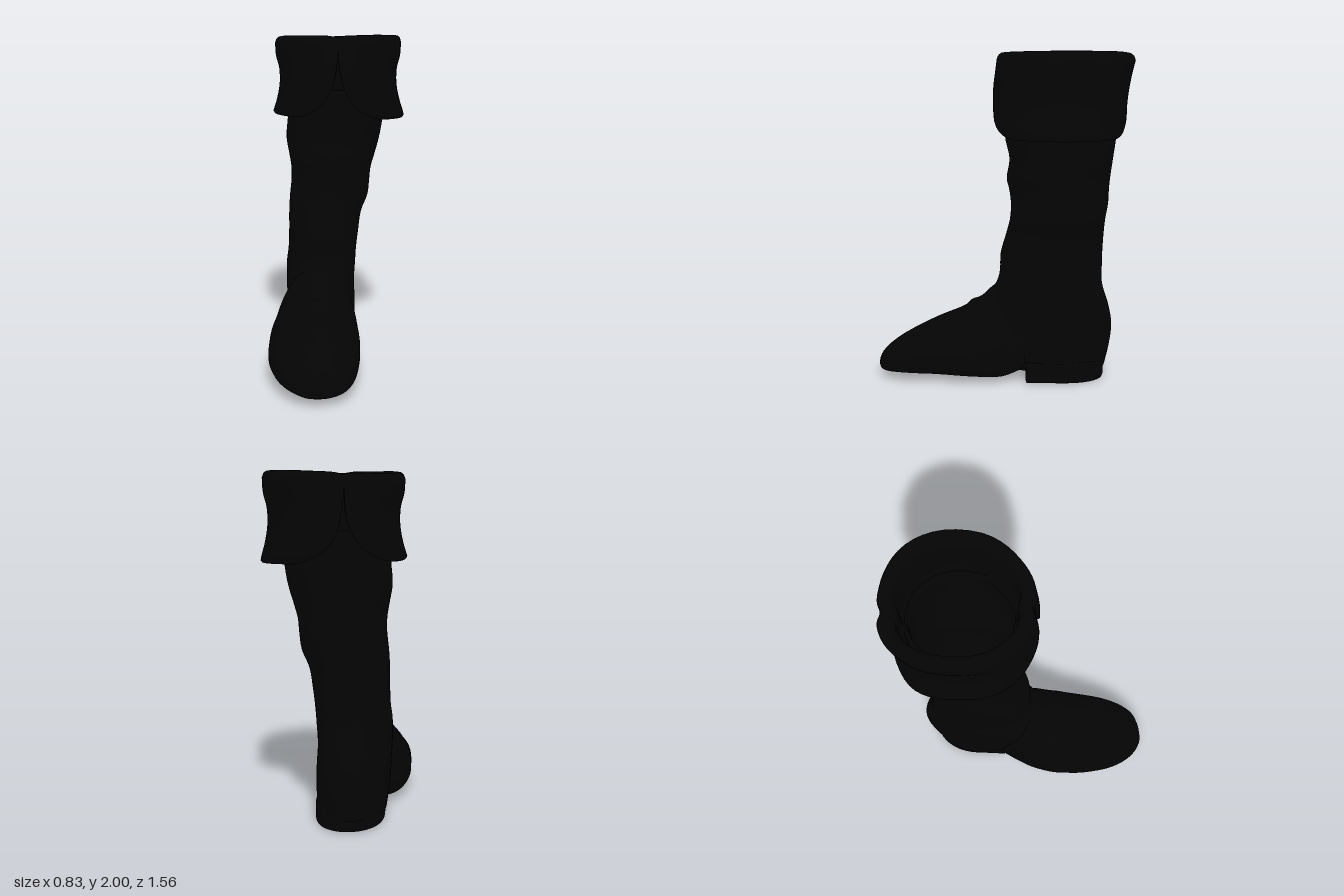
import * as THREE from 'three';

const TAU = Math.PI * 2;
const leather = new THREE.MeshStandardMaterial({ color: 0x040404, side: THREE.DoubleSide });
leather.name = 'black leather';

// Skin a list of closed rings (arrays of Vector3)
function skin(name, rings) {
  const n = rings[0].length;
  const index = [];
  for (let i = 0; i < rings.length - 1; i++) {
    for (let j = 0; j < n; j++) {
      const k = (j + 1) % n;
      const a = i * n + j, b = i * n + k, c = a + n, d = b + n;
      index.push(a, c, b, b, c, d);
    }
  }
  const g = new THREE.BufferGeometry().setFromPoints(rings.flat());
  g.setIndex(index);
  g.computeVertexNormals();
  const mesh = new THREE.Mesh(g, leather);
  mesh.name = name;
  return mesh;
}

const spow = (v, p) => Math.sign(v) * Math.abs(v) ** p;

// Smoothly sample a table of rows sorted by their first column
function sample(rows, t) {
  let i = 0;
  while (i < rows.length - 2 && t > rows[i + 1][0]) i++;
  const p0 = rows[Math.max(i - 1, 0)], p1 = rows[i], p2 = rows[i + 1];
  const p3 = rows[Math.min(i + 2, rows.length - 1)];
  const h = p2[0] - p1[0];
  const u = THREE.MathUtils.clamp((t - p1[0]) / h, 0, 1);
  return p1.map((v, k) => {
    const m1 = (p2[k] - p0[k]) / (p2[0] - p0[0]) * h;
    const m2 = (p3[k] - p1[k]) / (p3[0] - p1[0]) * h;
    return (2 * u ** 3 - 3 * u * u + 1) * v + (u ** 3 - 2 * u * u + u) * m1
      + (3 * u * u - 2 * u ** 3) * p2[k] + (u ** 3 - u * u) * m2;
  });
}

// Horizontal rounded ring between x0..x1 and z0..z1, fuller at the left front
function flatRing(y, x0, x1, z0, z1) {
  const n = 56, p = 0.94;
  return Array.from({ length: n }, (_, j) => {
    const a = j / n * TAU;
    const k = 1 + 0.065 * (Math.cos(a - Math.PI / 4) * Math.abs(Math.sin(2 * a))) ** 3;
    return new THREE.Vector3(
      (x0 + x1) / 2 + k * (x1 - x0) / 2 * spow(Math.cos(a), p), y,
      (z0 + z1) / 2 + k * (z1 - z0) / 2 * spow(Math.sin(a), p));
  });
}

// Leg and heel counter, folded over at the top into the lining
function makeShaft() {
  const top = 1.68, bottom = 0.07;
  const rows = [ // y, x min, x max, z back, z front
    [0.07, -0.305, 0.095, -0.63, -0.04], [0.2, -0.32, 0.105, -0.66, 0.07],
    [0.33, -0.325, 0.105, -0.675, 0.13], [0.45, -0.33, 0.1, -0.655, 0.13],
    [0.58, -0.33, 0.108, -0.615, 0.05], [0.66, -0.32, 0.113, -0.61, 0.024],
    [0.78, -0.315, 0.127, -0.61, 0.018], [0.9, -0.315, 0.145, -0.615, -0.015],
    [1.0, -0.31, 0.185, -0.622, -0.04], [1.1, -0.3, 0.197, -0.637, -0.045],
    [1.18, -0.3, 0.205, -0.64, -0.035], [1.25, -0.31, 0.225, -0.645, -0.02],
    [1.37, -0.33, 0.258, -0.66, -0.036], [1.5, -0.32, 0.28, -0.675, -0.01],
    [1.68, -0.32, 0.3, -0.68, -0.01]];
  const rings = [];
  for (let i = 0; i <= 64; i++) rings.push(flatRing(...sample(rows, bottom + (top - bottom) * i / 64)));
  for (let i = 0; i <= 40; i++) {
    const y = top - (top - 0.12) * i / 40;
    const [, x0, x1, z0, z1] = sample(rows, y);
    const w = 0.025, front = y < 0.65 ? Math.min(z1 - w, -0.15 + 0.14 * y) : z1 - w;
    rings.push(flatRing(y, x0 + w, x1 - w, z0 + w, front));
  }
  rings.push(flatRing(0.12, -0.12, -0.12, -0.38, -0.38));
  return skin('shaft', rings);
}

// Foot: upright sections from the toe back to the arch
function makeFoot() {
  const rows = [ // z, x min, x max, y bottom, y top
    [-0.14, -0.315, 0.085, 0.075, 0.4], [-0.06, -0.345, 0.105, 0.04, 0.52],
    [0.0, -0.365, 0.115, 0.02, 0.59], [0.06, -0.385, 0.124, 0.015, 0.565],
    [0.13, -0.4, 0.131, 0.016, 0.5], [0.16, -0.405, 0.133, 0.018, 0.482],
    [0.2, -0.41, 0.135, 0.02, 0.468], [0.24, -0.411, 0.135, 0.022, 0.43],
    [0.4, -0.4, 0.13, 0.033, 0.362], [0.55, -0.36, 0.115, 0.038, 0.29],
    [0.65, -0.31, 0.088, 0.042, 0.235], [0.72, -0.25, 0.045, 0.044, 0.185],
    [0.765, -0.185, -0.03, 0.047, 0.135], [0.78, -0.14, -0.09, 0.055, 0.1]];
  const n = 56, rings = [];
  const section = (z, x0, x1, y0, y1) => {
    const yc = y0 + Math.min(0.13, (y1 - y0) * 0.45);
    return Array.from({ length: n }, (_, j) => {
      const a = j / n * TAU, s = Math.sin(a), c = Math.cos(a);
      return new THREE.Vector3(
        (x0 + x1) / 2 + (x1 - x0) / 2 * spow(c, s < 0 ? 0.5 : 0.9),
        s < 0 ? yc - (yc - y0) * (-s) ** 0.6 : yc + (y1 - yc) * s ** 0.95, z);
    });
  };
  rings.push(section(0.78, -0.115, -0.115, 0.078, 0.078));
  for (let i = 0; i <= 60; i++) {
    const u = i / 60;
    rings.push(section(...sample(rows, 0.78 - 0.92 * u ** 1.3)));
  }
  rings.push(section(-0.14, -0.12, -0.12, 0.2, 0.2));
  return skin('foot', rings);
}

// Heel block with a straight front and a round back
function makeHeel() {
  const s = new THREE.Shape();
  s.moveTo(-0.285, -0.14);
  s.lineTo(0.095, -0.14);
  s.lineTo(0.1, -0.37);
  s.bezierCurveTo(0.095, -0.71, -0.28, -0.7, -0.295, -0.36);
  s.closePath();
  const g = new THREE.ExtrudeGeometry(s, {
    depth: 0.09, curveSegments: 20, bevelThickness: 0.02, bevelSize: 0.012, bevelOffset: -0.01, bevelSegments: 3 });
  g.rotateX(Math.PI / 2);
  g.translate(0, 0.11, 0);
  const mesh = new THREE.Mesh(g, leather);
  mesh.name = 'heel';
  return mesh;
}

// Turned-down cuff: two rounded flaps meeting at a front and a back slit
function makeCuff() {
  const rows = [ // y, half width, z back, z front
    [1.49, 0.415, -0.695, 0.03], [1.53, 0.407, -0.71, 0.05], [1.6, 0.386, -0.728, 0.066],
    [1.7, 0.368, -0.733, 0.072], [1.8, 0.37, -0.745, 0.07],
    [1.88, 0.39, -0.76, 0.06], [1.96, 0.394, -0.778, 0.05]];
  const front = Math.PI / 2, back = -Math.PI / 2 - 0.25, half = 36;
  const columns = [];
  for (const [a0, a1] of [[back, front], [front, back + TAU]]) {
    for (let j = 0; j < half; j++) {
      const a = a0 + (a1 - a0) * (1 - Math.cos(j / half * Math.PI)) / 2;
      columns.push({ a, d: Math.min(a - a0, a1 - a) });
    }
  }
  const { lerp: mix, smoothstep } = THREE.MathUtils;
  const point = ({ a, d }, y, scale, height = y) => {
    const [, hw, z0, z1] = sample(rows, y);
    // Fuller and lower at the right back corner, drawn in above the left front corner
    const diagonal = Math.cos(a + Math.PI * 0.75);
    const upper = smoothstep(y, 1.5, 1.75);
    const lean = diagonal ** 6 * (diagonal > 0 ? 0.11 - 0.04 * upper : -0.07 * upper);
    const slit = Math.exp(-((d / 0.1) ** 2));
    const k = scale * (1 + lean - 0.05 * slit);
    const drop = smoothstep(height, 1.85, 2) * (0.018 * Math.max(diagonal, 0) ** 2 + 0.01 * slit);
    const zc = -0.355;
    const s = spow(Math.sin(a), 0.9);
    return new THREE.Vector3(hw * k * spow(Math.cos(a), 0.9), height - drop,
      zc + k * s * (s > 0 ? z1 - zc : zc - z0));
  };
  const hem = ({ a, d }) => {
    const u = 1 - Math.min(1, d / 0.75);
    return 1.507 - 0.012 * Math.cos(a) + 0.42 * (1 - (1 - u ** 2.5) ** (1 / 2.5));
  };
  const rings = [];
  for (let i = 0; i <= 8; i++) rings.push(columns.map(c => point(c, mix(1.93, hem(c) + 0.012, i / 8), 0.94)));
  rings.push(columns.map(c => point(c, hem(c), 0.975)));
  for (let i = 0; i <= 16; i++) rings.push(columns.map(c => point(c, mix(hem(c) + 0.012, 1.96, i / 16), 1)));
  // Rolled rim and mouth
  for (const [y, k] of [[1.985, 0.98], [1.997, 0.945], [2, 0.9], [1.992, 0.85], [1.97, 0.81],
    [1.93, 0.79], [1.86, 0.785], [1.74, 0.775], [1.68, 0.745], [1.62, 0.715]])
    rings.push(columns.map(c => point(c, 1.96, k, y)));
  return skin('cuff', rings);
}

export function createModel() {
  const boot = new THREE.Group();
  boot.name = 'boot';
  boot.add(makeShaft(), makeFoot(), makeHeel(), makeCuff());
  return boot;
}
